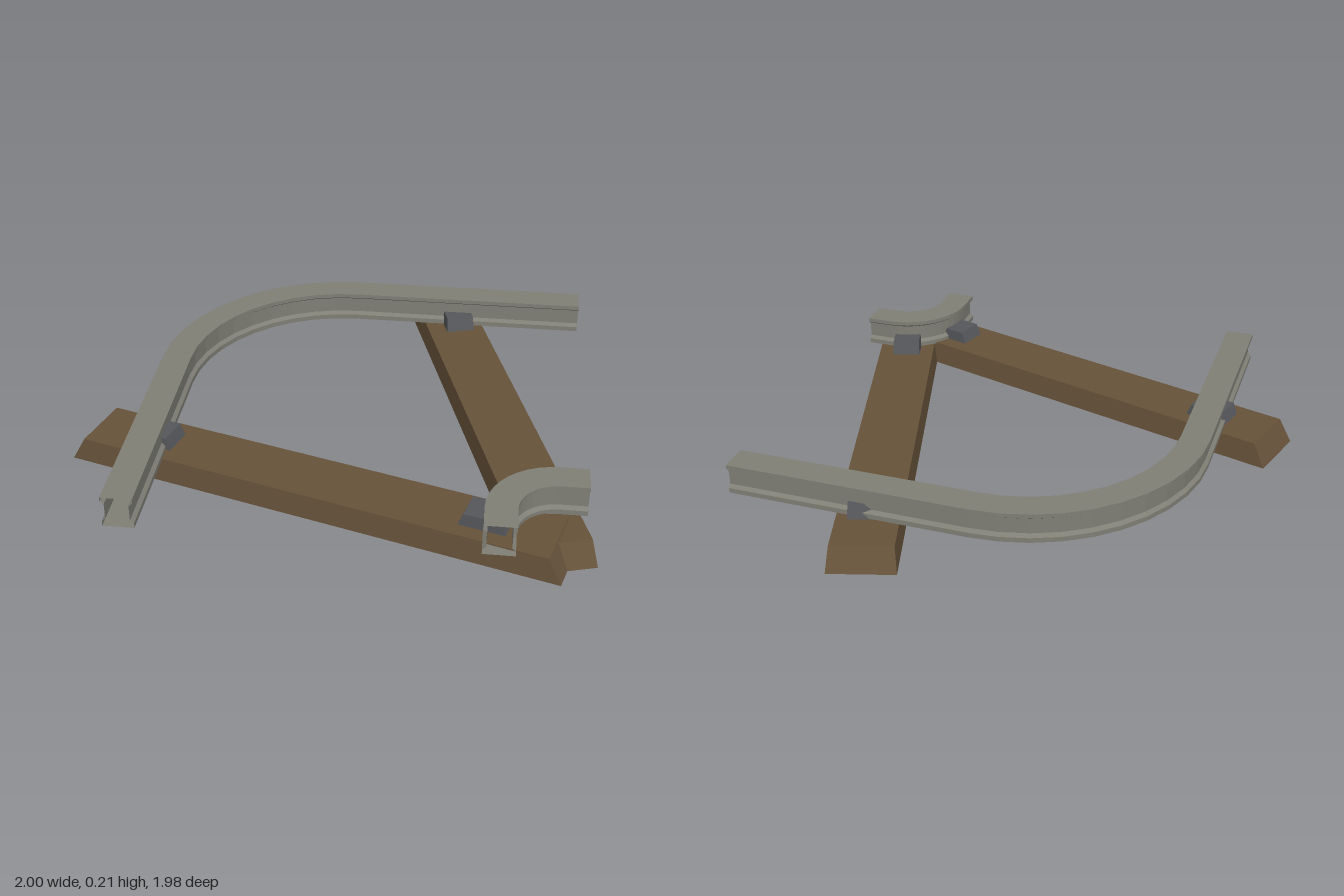
import * as THREE from 'three';

const wood = new THREE.MeshStandardMaterial({ color: 0x66523a });
wood.name = 'brown wood';
const steel = new THREE.MeshStandardMaterial({ color: 0x7f7f76, side: THREE.DoubleSide });
steel.name = 'grey steel';
const iron = new THREE.MeshStandardMaterial({ color: 0x55575b });
iron.name = 'dark iron';

// Box standing on y = 0 whose top is drawn in by dx and dz on each side
function taperedBox(length, height, width, dx, dz) {
  const geo = new THREE.BoxGeometry(length, height, width).translate(0, height / 2, 0);
  const p = geo.attributes.position;
  for (let i = 0; i < p.count; i++) {
    if (p.getY(i) < height / 2) continue;
    p.setX(i, p.getX(i) - Math.sign(p.getX(i)) * dx);
    p.setZ(i, p.getZ(i) - Math.sign(p.getZ(i)) * dz);
  }
  const flat = geo.toNonIndexed();
  flat.computeVertexNormals();
  return flat;
}

// Open-ended rail: I-shaped section swept along straight, quarter turn, straight
const half = [[0.058, 0.09], [0.058, 0.11], [0.044, 0.122], [0.044, 0.185], [0.058, 0.195], [0.058, 0.212]];
const profile = [...half, ...half.map(([s, y]) => [-s, y]).reverse()];

function railGeometry(cx, cz, radius, xEnd, zEnd, segments) {
  const stations = [{ x: cx - radius, z: zEnd, nx: -1, nz: 0 }];
  for (let i = 0; i <= segments; i++) {
    const t = (i / segments) * Math.PI / 2;
    const nx = -Math.cos(t), nz = -Math.sin(t);
    stations.push({ x: cx + radius * nx, z: cz + radius * nz, nx, nz });
  }
  stations.push({ x: xEnd, z: cz - radius, nx: 0, nz: -1 });

  const positions = [], indices = [], n = profile.length;
  stations.forEach((st, i) => {
    profile.forEach(([s, y], j) => {
      positions.push(st.x + st.nx * s, y, st.z + st.nz * s);
      if (i === stations.length - 1) return;
      const a = i * n + j, b = i * n + (j + 1) % n;
      indices.push(a, b, b + n, a, b + n, a + n);
    });
  });
  const geo = new THREE.BufferGeometry();
  geo.setAttribute('position', new THREE.Float32BufferAttribute(positions, 3));
  geo.setIndex(indices);
  const flat = geo.toNonIndexed();
  flat.computeVertexNormals();
  return flat;
}

export function createModel() {
  const group = new THREE.Group();
  group.name = 'curvedTrack';

  const add = (name, geo, material, x = 0, y = 0, z = 0, angle = 0) => {
    const mesh = new THREE.Mesh(geo, material);
    mesh.name = name;
    mesh.position.set(x, y, z);
    mesh.rotation.y = angle;
    group.add(mesh);
  };

  // Two wooden sleepers meeting at the inner corner, each with two rail clips
  const sleepers = [
    { name: 'frontSleeper', x: -0.028, z: 0.588, h: 0.095, angle: -0.284, clips: [[-0.667, 0.402], [0.605, 0.775]] },
    { name: 'backSleeper', x: 0.602, z: -0.025, h: 0.087, angle: -1.287, clips: [[0.432, -0.665], [0.786, 0.612]] },
  ];
  for (const s of sleepers) {
    add(s.name, taperedBox(1.946, s.h, 0.26, 0.052, 0.01), wood, s.x, 0, s.z, s.angle);
    s.clips.forEach(([x, z], i) =>
      add(s.name + (i ? 'InnerClip' : 'OuterClip'), taperedBox(0.185, 0.06, 0.12, 0.023, 0.003), iron, x, 0.083, z, s.angle));
  }

  // Concentric rails of the bend
  add('outerRail', railGeometry(0, -0.01, 0.677, 0.962, 0.955, 10), steel);
  add('innerRail', railGeometry(0.862, 0.852, 0.21, 0.962, 0.955, 10), steel);

  return group;
}
